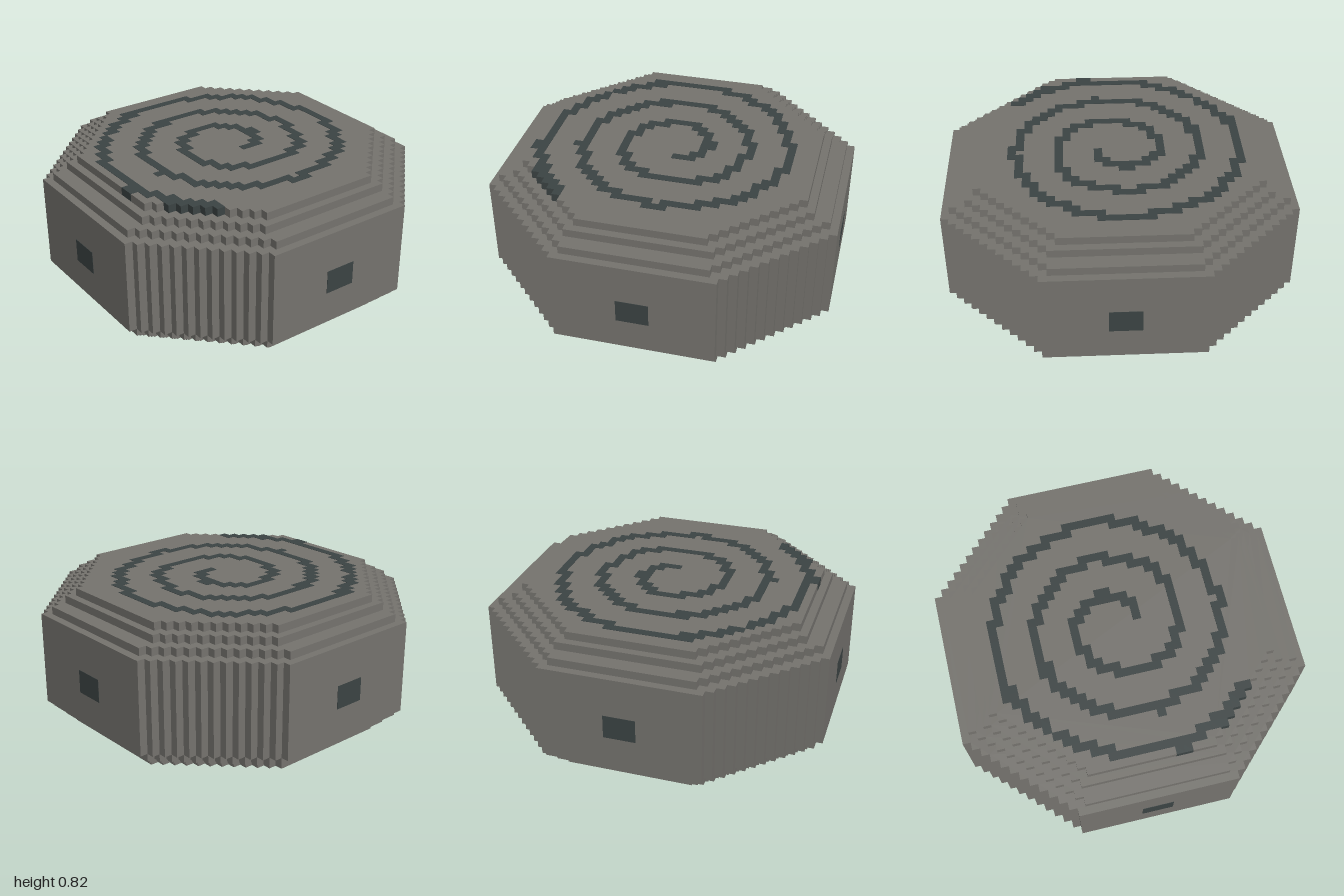
import * as THREE from 'three';
import { mergeGeometries } from 'three/addons/utils/BufferGeometryUtils.js';

const C = 1 / 22; // size of one block

// Octagon with stepped corners: R = half width, f = half length of a straight side (in blocks)
function octagonSlab(R, f, y0, y1) {
  const pts = [];
  for (let q = 0; q < 4; q++) {
    const turn = (x, y) => {
      for (let i = 0; i < q; i++) [x, y] = [-y, x];
      pts.push(new THREE.Vector2(x * C, y * C));
    };
    turn(R, f);
    for (let k = 0; k < R - f; k++) {
      turn(R - k - 1, f + k);
      turn(R - k - 1, f + k + 1);
    }
  }
  const geo = new THREE.ExtrudeGeometry(new THREE.Shape(pts), { depth: (y1 - y0) * C, bevelEnabled: false });
  geo.rotateX(-Math.PI / 2);
  geo.translate(0, y0 * C, 0);
  return geo;
}

// Blocks of the top layer crossed by a widening spiral
function spiralCells() {
  const cells = new Map();
  const add = (x, z) => {
    const inside = Math.max(Math.abs(x + 0.5), Math.abs(z + 0.5)) < 18
      && Math.abs(x + 0.5) + Math.abs(z + 0.5) < 25.5;
    if (inside) cells.set(x + ',' + z, [x, z]);
  };
  for (let q = 0; q < 11.55; q += 0.002) {
    const r = 2.69 + 1.29 * q, a = q * Math.PI / 2;
    add(Math.floor(r * Math.sin(a)), Math.floor(r * Math.cos(a)));
  }
  // small bumps along the groove
  [[-3, -6], [-5, -11], [-7, -16], [-13, 2], [-18, 3], [-18, 4]].forEach(([x, z]) => add(x, z));
  // the groove's end runs out along the stepped rim
  for (let i = 12; i <= 16; i++) add(-i, 25 - i);
  return [...cells.values()];
}

export function createModel() {
  const model = new THREE.Group();
  const stone = new THREE.MeshStandardMaterial({ color: 0x76746f });
  stone.name = 'stone grey';
  const dark = new THREE.MeshStandardMaterial({ color: 0x3c4444 });
  dark.name = 'dark slate';

  const add = (name, geo, mat) => {
    const mesh = new THREE.Mesh(geo, mat);
    mesh.name = name;
    model.add(mesh);
    return mesh;
  };

  // stacked slabs: name, half width, half straight side, bottom, top
  [
    ['footLower', 19, 8, 0, 1],
    ['footMiddle', 20, 9, 1, 2],
    ['footUpper', 21, 10, 2, 3],
    ['body', 22, 10, 3, 15],
    ['rimLower', 21, 9, 15, 16],
    ['rimMiddle', 19, 9, 16, 17],
    ['topSlab', 18, 8, 17, 18],
  ].forEach(([name, R, f, y0, y1]) => add(name, octagonSlab(R, f, y0, y1), stone));

  // spiral inlay, a hair proud of the top slab
  const blocks = spiralCells().map(([x, z]) =>
    new THREE.BoxGeometry(C + 0.003, C, C + 0.003).translate((x + 0.5) * C, 17.5 * C + 0.002, (z + 0.5) * C));
  add('spiralInlay', mergeGeometries(blocks), dark);

  // one dark panel on each of the four straight sides
  ['frontPanel', 'leftPanel', 'backPanel', 'rightPanel'].forEach((name, i) => {
    const geo = new THREE.BoxGeometry(4 * C, 3 * C, 0.004).translate(0, 8.5 * C, 1);
    add(name, geo.rotateY(i * Math.PI / 2), dark);
  });

  return model;
}
